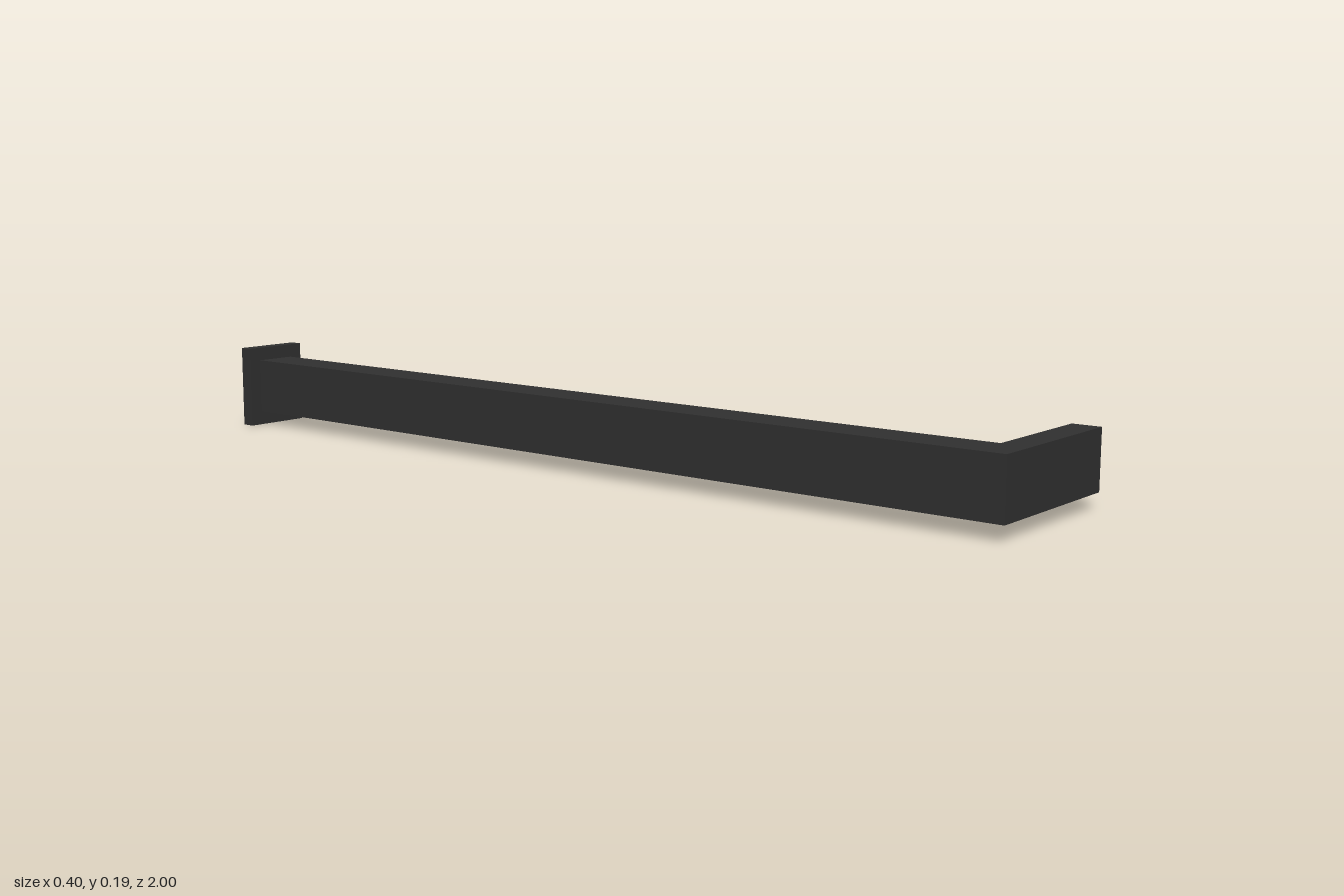
import * as THREE from 'three';

export function createModel() {
  const black = new THREE.MeshStandardMaterial({ color: 0x303030 });
  black.name = 'matte black';
  const white = new THREE.MeshStandardMaterial({ color: 0xdcdcdc });
  white.name = 'diffuser white';
  const group = new THREE.Group();

  const add = (name, geometry, material) => {
    const mesh = new THREE.Mesh(geometry, material);
    mesh.name = name;
    group.add(mesh);
  };
  const extrude = (points, depth) => new THREE.ExtrudeGeometry(
    new THREE.Shape(points.map(([x, y]) => new THREE.Vector2(x, y))),
    { depth, bevelEnabled: false });

  // Mounting plate at the back
  add('wallPlate', new THREE.BoxGeometry(0.153, 0.185, 0.03).translate(-0.1235, 0.0925, -0.985), black);

  // L-shaped arm and head, outlined in plan (x, -z) and extruded upwards
  const plan = [[-0.17, -1], [0.2, -1], [0.2, -0.94], [-0.078, -0.94], [-0.078, 0.97], [-0.17, 0.97]];
  add('armAndHead', extrude(plan, 0.123).rotateX(-Math.PI / 2).translate(0, 0.032, 0), black);

  // Light strip behind the head: flat towards the wall, chamfered towards the head
  const profile = [[-0.905, 0.065], [-0.905, 0.125], [-0.93, 0.125], [-0.941, 0.108], [-0.941, 0.082], [-0.93, 0.065]]
    .reverse();
  add('lightStrip', extrude(profile, 0.243).rotateY(Math.PI / 2).translate(-0.078, 0, 0), white);

  return group;
}
